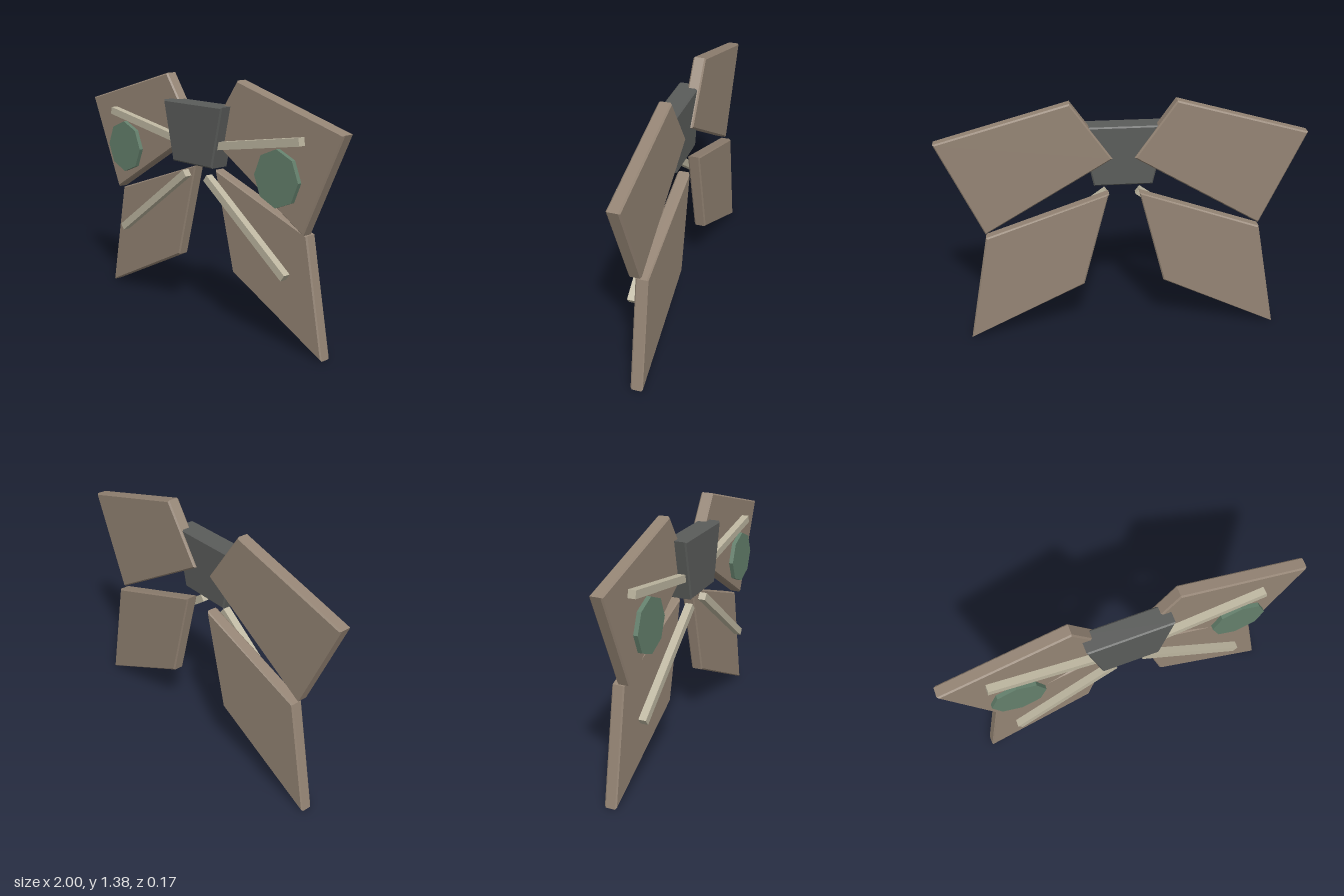
import * as THREE from 'three';

const paint = (name, color) => {
  const m = new THREE.MeshStandardMaterial({ color });
  m.name = name;
  return m;
};

// Chamfered flat plate from an outline, filling z0..z1
function plate(name, outline, z0, z1, bevel, material) {
  const shape = new THREE.Shape(outline.map(([x, y]) => new THREE.Vector2(x, y)));
  const geo = new THREE.ExtrudeGeometry(shape, {
    depth: z1 - z0 - 2 * bevel, bevelEnabled: true, bevelSegments: 1,
    bevelThickness: bevel, bevelSize: bevel, bevelOffset: -bevel,
  });
  geo.translate(0, 0, z0 + bevel);
  const mesh = new THREE.Mesh(geo, material);
  mesh.name = name;
  return mesh;
}

// Square bar between two points in the xy plane
function spar(name, [x0, y0], [x1, y1], material) {
  const dx = x1 - x0, dy = y1 - y0;
  const mesh = new THREE.Mesh(new THREE.BoxGeometry(Math.hypot(dx, dy), 0.042, 0.042), material);
  mesh.position.set((x0 + x1) / 2, (y0 + y1) / 2, 0.041);
  mesh.rotation.z = Math.atan2(dy, dx);
  mesh.name = name;
  return mesh;
}

export function createModel() {
  const tan = paint('wing tan', 0x948474);
  const grey = paint('body grey', 0x5a5c5a);
  const cream = paint('spar cream', 0xbdb6a0);
  const green = paint('disc green', 0x64806c);

  const model = new THREE.Group();
  model.name = 'wingPack';

  // Central tapered body
  model.add(plate('body', [[-0.16, 0.905], [0.16, 0.905], [0.237, 1.24], [-0.237, 1.24]],
    -0.037, 0.083, 0.008, grey));

  // Mirrored wings, spars and discs
  const upper = [[0.06, 1.065], [0.76, 0.647], [1.0, 1.18], [0.283, 1.38]];
  const lower = [[0.083, 0.875], [0.225, 0.323], [0.877, 0.005], [0.757, 0.64]];
  for (const [side, s] of [['left', 1], ['right', -1]]) {
    const flip = ([x, y]) => [s * x, y];
    const wing = new THREE.Group();
    wing.name = side + 'Wings';
    wing.add(
      plate(side + 'UpperWing', upper.map(flip), -0.052, 0.018, 0.008, tan),
      plate(side + 'LowerWing', lower.map(flip), -0.084, -0.016, 0.008, tan),
      spar(side + 'UpperSpar', flip([0.12, 1.018]), flip([0.76, 1.124]), cream),
      spar(side + 'LowerSpar', flip([0.085, 0.841]), flip([0.672, 0.414]), cream),
    );
    const disc = new THREE.Mesh(new THREE.CylinderGeometry(0.15, 0.15, 0.024, 8).toNonIndexed(), green);
    disc.geometry.computeVertexNormals();
    disc.rotation.x = Math.PI / 2;
    disc.position.set(s * 0.622, 0.923, 0.061);
    disc.name = side + 'Disc';
    wing.add(disc);
    model.add(wing);
  }
  return model;
}
